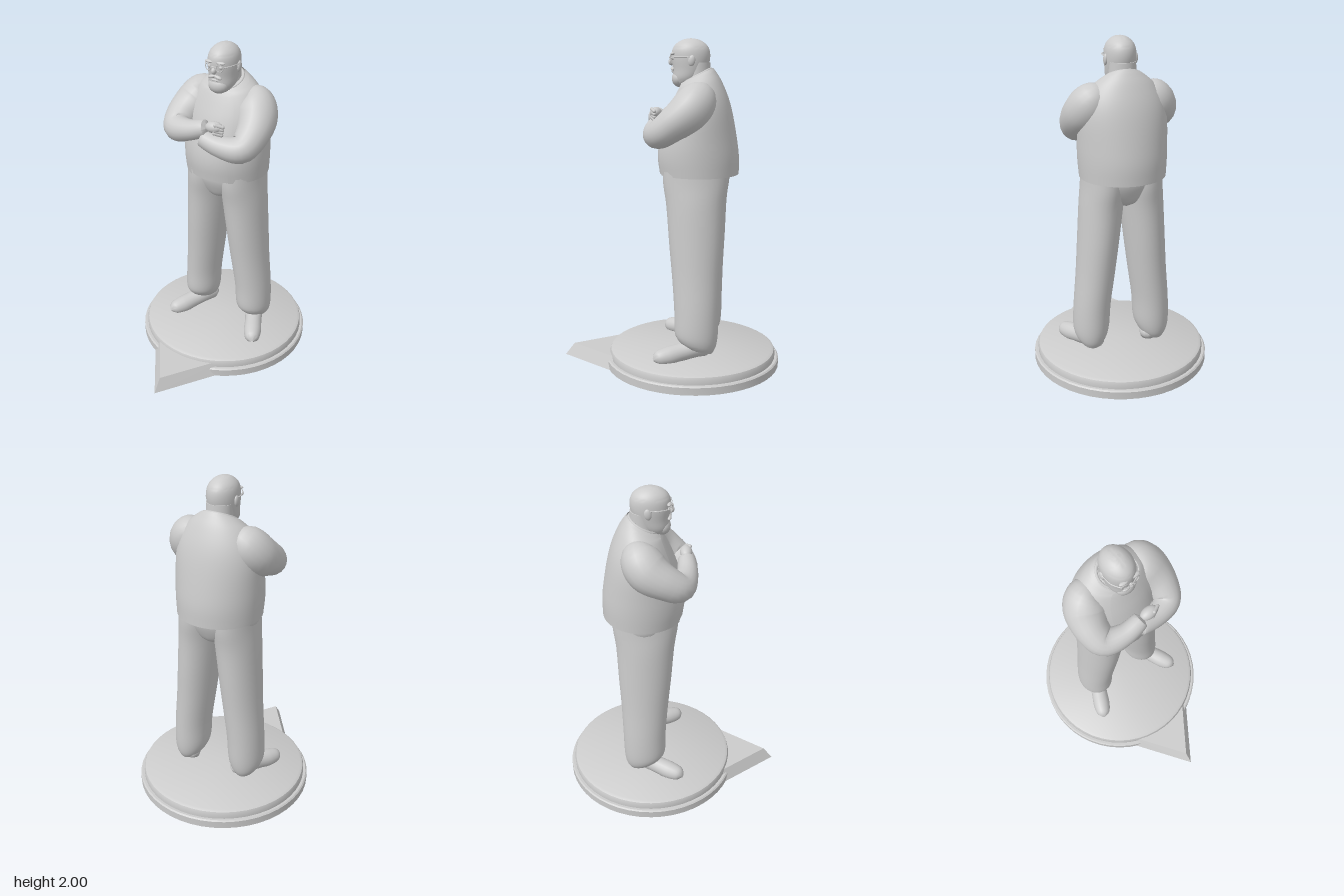
import * as THREE from 'three';
import { mergeVertices, toCreasedNormals } from 'three/addons/utils/BufferGeometryUtils.js';
import { ConvexGeometry } from 'three/addons/geometries/ConvexGeometry.js';

const grey = new THREE.MeshStandardMaterial({ color: 0xcccccc });
const thin = new THREE.MeshStandardMaterial({ color: 0xcccccc, side: THREE.DoubleSide });

function add(parent, name, geometry, material = grey) {
  const mesh = new THREE.Mesh(geometry, material);
  mesh.name = name;
  parent.add(mesh);
  return mesh;
}

// Weld, then shade smoothly except across sharp edges
function smooth(g, angle = 1) {
  g.deleteAttribute('uv');
  g.deleteAttribute('normal');
  return toCreasedNormals(mergeVertices(g, 1e-5), angle);
}

// Stacked ellipses, bottom to top: [cx, y, cz, rx, rz, tilt]; gap leaves the front open
function loft(keys, { steps = 4, seg = 32, grow = 0, gap = 0 } = {}) {
  const mid = new THREE.CatmullRomCurve3(keys.map(k => new THREE.Vector3(k[0], k[1], k[2])), false, 'catmullrom');
  const size = new THREE.CatmullRomCurve3(keys.map(k => new THREE.Vector3(k[3], k[4], k[5] || 0)), false, 'catmullrom');
  const n = (keys.length - 1) * steps, pos = [], index = [];
  const rings = [];
  for (let i = 0; i <= n; i++) rings.push([i / n, 1]);
  if (!gap) { rings.unshift([0, 0]); rings.push([1, 0]); }
  for (const [t, scale] of rings) {
    const c = mid.getPoint(t), s = size.getPoint(t);
    for (let j = 0; j <= seg; j++) {
      const a = gap + (j % seg === 0 && !gap ? 0 : j / seg) * (2 * Math.PI - 2 * gap);
      pos.push(c.x + Math.sin(a) * (s.x + grow) * scale,
        c.y + Math.cos(a) * s.z * scale,
        c.z + Math.cos(a) * (s.y + grow) * scale);
    }
  }
  const w = seg + 1;
  for (let i = 0; i < rings.length - 1; i++) {
    for (let j = 0; j < seg; j++) {
      const a = i * w + j, b = a + 1, c = b + w, d = a + w;
      index.push(a, b, c, a, c, d);
    }
  }
  const g = new THREE.BufferGeometry();
  g.setAttribute('position', new THREE.Float32BufferAttribute(pos, 3));
  g.setIndex(index);
  return smooth(g);
}

// Round limb of varying radius along points [x, y, z, r]
function limb(points, n = 36, seg = 20) {
  const curve = new THREE.CatmullRomCurve3(points.map(p => new THREE.Vector3(p[0], p[1], p[2])));
  const radius = new THREE.CatmullRomCurve3(points.map(p => new THREE.Vector3(p[3], 0, 0)), false, 'catmullrom');
  const g = new THREE.TubeGeometry(curve, n, 1, seg);
  const P = g.attributes.position, N = g.attributes.normal;
  for (let i = 0; i < P.count; i++) {
    const u = Math.floor(i / (seg + 1)) / n;
    const c = curve.getPointAt(u);
    const r = Math.max(0.004, radius.getPoint(curve.getUtoTmapping(u)).x);
    P.setXYZ(i, c.x + N.getX(i) * r, c.y + N.getY(i) * r, c.z + N.getZ(i) * r);
  }
  return smooth(g);
}

function ball(parent, name, x, y, z, rx, ry, rz) {
  const m = add(parent, name, new THREE.SphereGeometry(1, 20, 14));
  m.position.set(x, y, z);
  m.scale.set(rx, ry, rz);
  return m;
}

export function createModel() {
  const model = new THREE.Group();
  model.name = 'standingFigure';

  // Stepped round stand with a bevelled pointer
  const profile = [[0, 0], [0.54, 0], [0.54, 0.045], [0.532, 0.052], [0.517, 0.052], [0.517, 0.08],
    [0.511, 0.095], [0.495, 0.104], [0, 0.104]].map(p => new THREE.Vector2(...p));
  add(model, 'stand', smooth(new THREE.LatheGeometry(profile, 48), 0.6)).position.z = -0.14;
  add(model, 'standPointer', new ConvexGeometry([
    [-0.28, 0, 0.275], [0.28, 0, 0.275], [0, 0, 0.68],
    [-0.24, 0.078, 0.275], [0.24, 0.078, 0.275], [0, 0.078, 0.62],
  ].map(p => new THREE.Vector3(...p))));

  // Trousers
  add(model, 'trouserSeat', loft([
    [0, 1.03, -0.165, 0.03, 0.09], [0, 1.06, -0.165, 0.11, 0.14], [0, 1.11, -0.165, 0.2, 0.17],
    [0, 1.18, -0.165, 0.24, 0.195], [0, 1.26, -0.165, 0.24, 0.2]]));
  const leg = [[0.212, 0.165, -0.185, 0.07, 0.095, 0.03], [0.208, 0.2, -0.182, 0.095, 0.118, 0.025],
    [0.203, 0.26, -0.18, 0.109, 0.131, 0.01], [0.195, 0.4, -0.18, 0.111, 0.134],
    [0.172, 0.6, -0.175, 0.116, 0.145], [0.152, 0.8, -0.17, 0.122, 0.16],
    [0.132, 1.02, -0.165, 0.127, 0.174], [0.12, 1.15, -0.163, 0.126, 0.192], [0.118, 1.25, -0.163, 0.122, 0.195]];

  // Shoes: rounded limb flattened on the ground, toes turned out
  const shoe = limb([[0, 0.03, -0.1, 0.008], [0, 0.042, -0.088, 0.042], [0, 0.06, -0.02, 0.056],
    [0, 0.045, 0.08, 0.054], [0, 0.03, 0.17, 0.056], [0, 0.024, 0.235, 0.042], [0, 0.016, 0.262, 0.008]]);
  const sp = shoe.attributes.position;
  for (let i = 0; i < sp.count; i++) sp.setY(i, Math.max(0, sp.getY(i)));
  const shoeGeometry = smooth(shoe);
  for (const side of [1, -1]) {
    const label = side > 0 ? 'left' : 'right', k = side > 0 ? 1 : -0.92;
    add(model, label + 'TrouserLeg', loft(leg.map(r => [r[0] * k, ...r.slice(1)])));
    const foot = add(model, label + 'Shoe', shoeGeometry);
    foot.position.set(side > 0 ? 0.215 : -0.182, 0.102, -0.17);
    foot.rotation.y = side * 0.46;
  }

  // Shirt body and the open jacket around it
  const torso = [[0, 1.2, -0.172, 0.246, 0.234], [0, 1.3, -0.166, 0.253, 0.24], [0, 1.4, -0.166, 0.255, 0.228],
    [0, 1.55, -0.175, 0.25, 0.192], [0, 1.65, -0.18, 0.225, 0.158, -0.005], [0, 1.73, -0.175, 0.175, 0.122, -0.02],
    [0, 1.765, -0.163, 0.13, 0.1, -0.04], [0, 1.78, -0.155, 0.1, 0.09, -0.048]];
  add(model, 'shirt', loft(torso));
  add(model, 'jacket', loft(torso, { grow: 0.009, gap: 0.52, seg: 40 }), thin);
  const collar = add(model, 'collar', new THREE.TorusGeometry(0.094, 0.009, 8, 32));
  collar.position.set(0, 1.778, -0.158);
  collar.rotation.x = Math.PI / 2 + 0.48;

  // Folded arms
  add(model, 'leftArm', limb([[0.08, 1.71, -0.19, 0.02], [0.16, 1.665, -0.185, 0.105], [0.208, 1.59, -0.14, 0.124],
    [0.235, 1.51, -0.04, 0.1], [0.21, 1.45, 0.045, 0.083], [0.1, 1.455, 0.085, 0.064],
    [-0.025, 1.488, 0.09, 0.047], [-0.032, 1.489, 0.09, 0.008]]));
  add(model, 'rightArm', limb([[-0.08, 1.71, -0.19, 0.02], [-0.16, 1.665, -0.185, 0.105], [-0.21, 1.59, -0.14, 0.124],
    [-0.24, 1.53, -0.04, 0.1], [-0.22, 1.49, 0.04, 0.085], [-0.11, 1.51, 0.082, 0.063],
    [0.01, 1.55, 0.08, 0.046], [0.017, 1.551, 0.08, 0.008]]));

  // Hands: one resting on top, one tucked under
  ball(model, 'rightHand', 0.055, 1.565, 0.08, 0.055, 0.034, 0.036).rotation.z = 0.1;
  for (let i = 0; i < 4; i++) {
    const finger = add(model, 'finger', new THREE.CapsuleGeometry(0.011, 0.045, 4, 10));
    finger.position.set(0.095 - i * 0.003, 1.583 - i * 0.017, 0.092);
    finger.rotation.set(0, 0.5, Math.PI / 2 - 0.25);
  }
  ball(model, 'leftHand', -0.065, 1.498, 0.07, 0.055, 0.03, 0.03);

  // Head and neck
  const head = new THREE.Group();
  head.name = 'head';
  model.add(head);
  add(head, 'neck', loft([[0, 1.7, -0.165, 0.088, 0.08], [0, 1.78, -0.165, 0.08, 0.076], [0, 1.86, -0.165, 0.078, 0.072]]));
  add(head, 'skull', loft([[0, 1.718, -0.09, 0.03, 0.045], [0, 1.735, -0.092, 0.058, 0.066],
    [0, 1.77, -0.104, 0.078, 0.087], [0, 1.82, -0.118, 0.085, 0.102], [0, 1.88, -0.122, 0.09, 0.114],
    [0, 1.93, -0.122, 0.086, 0.111], [0, 1.965, -0.122, 0.069, 0.09], [0, 1.99, -0.122, 0.038, 0.05],
    [0, 1.999, -0.122, 0.004, 0.005]]));
  ball(head, 'beard', 0, 1.765, -0.055, 0.062, 0.05, 0.046);
  ball(head, 'nose', 0, 1.862, -0.007, 0.015, 0.02, 0.019);
  ball(head, 'mouth', 0, 1.806, -0.018, 0.024, 0.006, 0.01);

  // Ears, brows, eyes and glasses
  for (const s of [1, -1]) {
    ball(head, 'ear', s * 0.09, 1.87, -0.135, 0.012, 0.032, 0.021).rotation.x = -0.15;
    ball(head, 'moustache', s * 0.02, 1.824, -0.018, 0.026, 0.011, 0.013).rotation.z = -s * 0.3;
    ball(head, 'brow', s * 0.036, 1.91, -0.019, 0.03, 0.009, 0.014);
    ball(head, 'eye', s * 0.036, 1.883, -0.022, 0.013, 0.011, 0.01);
    const rim = add(head, 'glassesRim', new THREE.TorusGeometry(0.021, 0.0028, 6, 20));
    rim.position.set(s * 0.037, 1.883, -0.006);
    rim.rotation.y = s * 0.25;
    add(head, 'glassesArm', limb([[s * 0.057, 1.887, -0.011, 0.003], [s * 0.087, 1.89, -0.06, 0.003],
      [s * 0.094, 1.888, -0.13, 0.003]], 12, 6));
  }
  add(head, 'glassesBridge', limb([[-0.017, 1.885, -0.001, 0.003], [0, 1.89, 0.005, 0.003],
    [0.017, 1.885, -0.001, 0.003]], 8, 6));

  return model;
}
